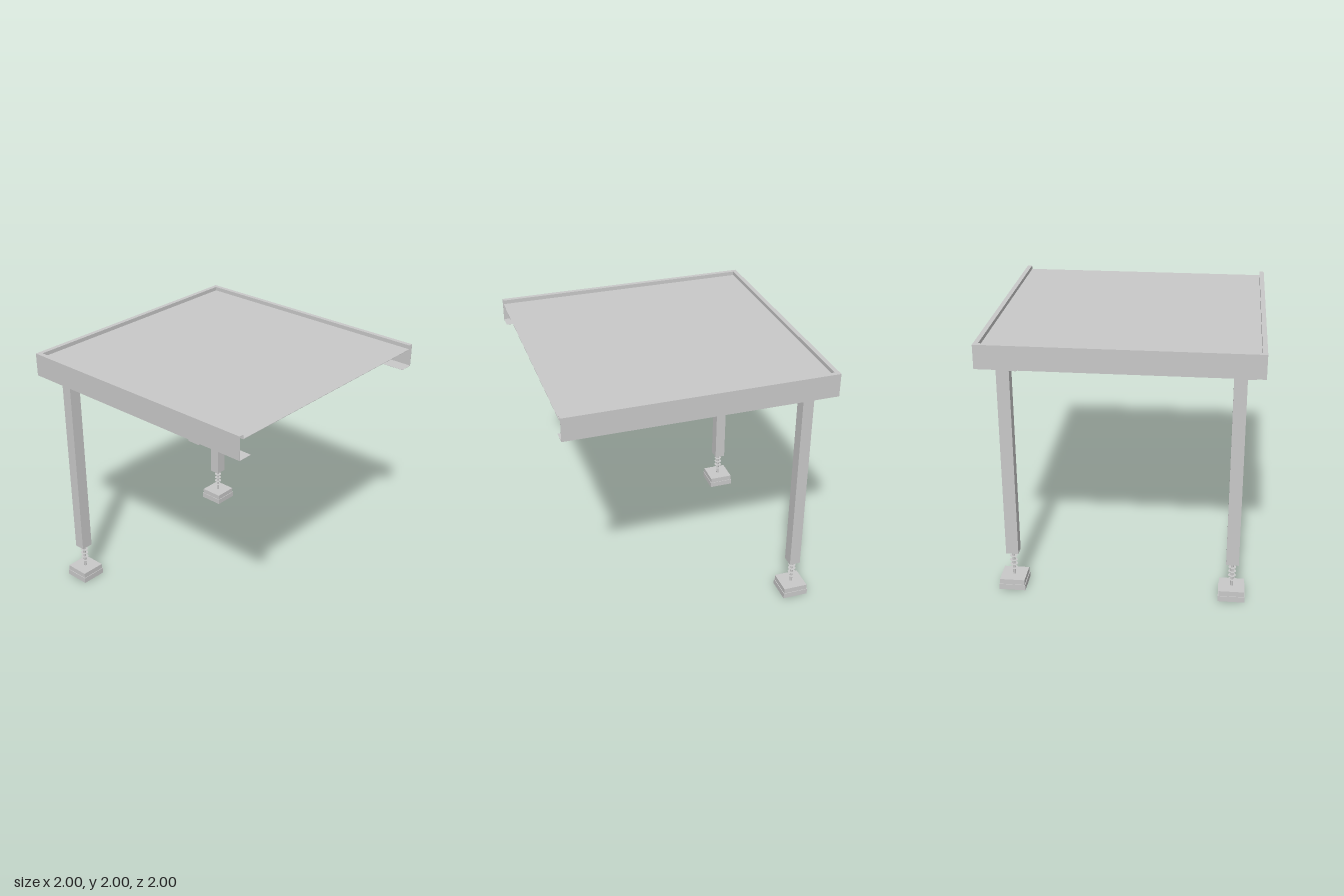
import * as THREE from 'three';

export function createModel() {
  const model = new THREE.Group();
  model.name = 'platformModule';
  const steel = new THREE.MeshStandardMaterial({ color: 0xc8c8c8, side: THREE.DoubleSide });
  steel.name = 'grey metal';

  const add = (parent, name, geometry) => {
    const mesh = new THREE.Mesh(geometry, steel);
    mesh.name = name;
    parent.add(mesh);
    return mesh;
  };
  // Box given by its low and high corners
  const box = (parent, name, [x0, y0, z0], [x1, y1, z1]) => {
    const mesh = add(parent, name, new THREE.BoxGeometry(x1 - x0, y1 - y0, z1 - z0));
    mesh.position.set((x0 + x1) / 2, (y0 + y1) / 2, (z0 + z1) / 2);
    return mesh;
  };

  // Edge rails: folded sheet with a top bead and a bottom lip, on three sides
  const profile = new THREE.Shape([
    [0.89, 1.823], [1, 1.823], [1, 2], [0.965, 2], [0.965, 1.969],
    [0.967, 1.969], [0.967, 1.998], [0.998, 1.998], [0.998, 1.825], [0.89, 1.825],
  ].map(([u, y]) => new THREE.Vector2(u, y)));
  const railGeometry = new THREE.ExtrudeGeometry(profile, { depth: 2, bevelEnabled: false });
  railGeometry.translate(0, 0, -1);
  [['frontRail', -Math.PI / 2], ['backRail', Math.PI / 2], ['rightRail', Math.PI]].forEach(([name, turn]) => {
    add(model, name, railGeometry).rotation.y = turn;
  });

  // Thin deck with one stiffening beam below
  box(model, 'deckSheet', [-0.966, 1.967, -0.966], [1, 1.97, 0.966]);
  box(model, 'crossBeam', [-0.03, 1.89, -0.89], [0.03, 1.967, 0.89]);

  // Small clip under the front rail
  box(model, 'railClip', [0.55, 1.812, 0.89], [0.645, 1.825, 1]);

  const rodGeometry = new THREE.CylinderGeometry(0.011, 0.011, 0.22, 12);
  const ringGeometry = new THREE.CircleGeometry(0.03, 12).rotateX(-Math.PI / 2);
  const braceGeometry = new THREE.PlaneGeometry(0.43, 0.035).rotateX(-Math.PI / 2);

  // Legs under the two right-hand corners
  for (const side of [1, -1]) {
    const leg = new THREE.Group();
    leg.name = side > 0 ? 'frontLeg' : 'backLeg';
    leg.position.set(-0.831, 0, side * 0.83);
    model.add(leg);

    box(leg, 'footPad', [-0.1, 0, -0.1], [0.1, 0.045, 0.1]);
    box(leg, 'footPlate', [-0.095, 0.045, -0.095], [0.095, 0.086, 0.095]);
    add(leg, 'adjusterRod', rodGeometry).position.y = 0.19;
    for (let i = 0; i < 4; i++) add(leg, 'threadRing', ringGeometry).position.y = 0.14 + i * 0.035;
    box(leg, 'post', [-0.042, 0.283, -0.047], [0.042, 1.82, 0.047]);
    box(leg, 'socketFlange', [-0.055, 1.805, -0.058], [0.055, 1.823, 0.058]);
    box(leg, 'socketCollar', [-0.062, 1.828, -0.068], [0.062, 1.842, 0.068]);
    box(leg, 'socket', [-0.055, 1.82, -0.059], [0.055, 1.967, 0.059]);
    box(leg, 'lockHandle', [-0.078, 1.782, 0.045], [-0.03, 1.828, 0.108]);

    // Mounting plate under the deck, set inward from the leg
    const plate = add(leg, 'mountPlate', new THREE.BoxGeometry(0.21, 0.006, 0.21));
    plate.position.set(0.12, 1.963, -side * 0.12);

    // Flat diagonal brace across the corner, joining the two rails
    const brace = add(leg, 'cornerBrace', braceGeometry);
    brace.position.set(0.072, 1.85, -side * 0.072);
    brace.rotation.y = -side * Math.PI / 4;
  }
  return model;
}
